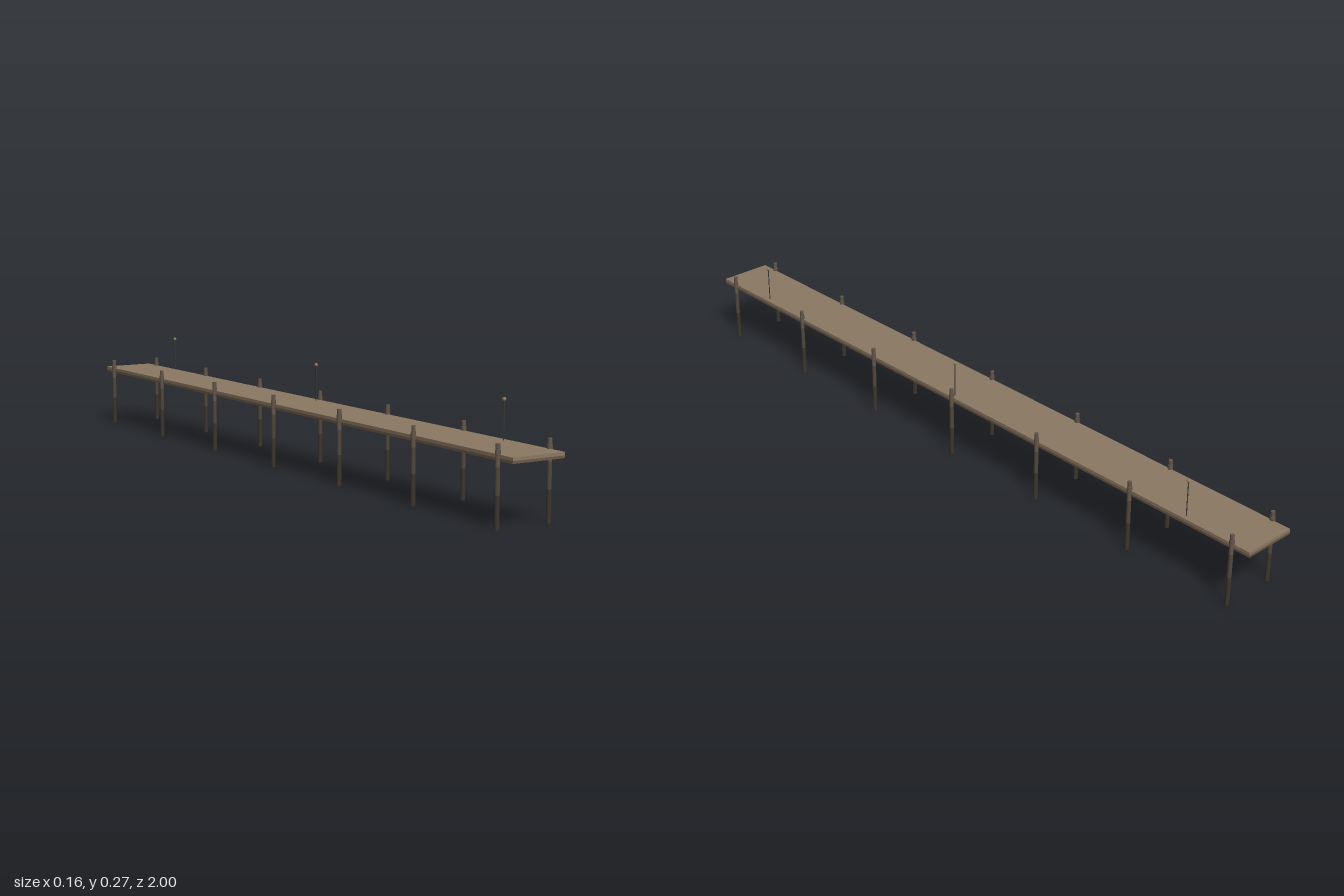
import * as THREE from 'three';

const material = (name, color) => {
  const m = new THREE.MeshStandardMaterial({ color });
  m.name = name;
  return m;
};

export function createModel() {
  const plank = material('weathered plank', 0x8b7862);
  const beamWood = material('beam brown', 0x6b5846);
  const postWood = material('post brown', 0x65574a);
  const dampWood = material('damp post', 0x51463b);
  const wetWood = material('waterline post', 0x3d352d);
  const iron = material('dark iron', 0x3c3c3c);
  const lampGlass = material('lamp amber', 0x9a7c50);

  const pier = new THREE.Group();
  pier.name = 'pier';

  const add = (parent, name, geometry, mat, x, y, z) => {
    const mesh = new THREE.Mesh(geometry, mat);
    mesh.name = name;
    mesh.position.set(x, y, z);
    parent.add(mesh);
    return mesh;
  };

  // Long walkway with a rim of beams beneath it
  add(pier, 'deck', new THREE.BoxGeometry(0.146, 0.008, 2), plank, 0, 0.164, 0);
  for (const side of [-1, 1]) {
    add(pier, 'sideBeam', new THREE.BoxGeometry(0.006, 0.006, 2), beamWood, side * 0.07, 0.157, 0);
    add(pier, 'endBeam', new THREE.BoxGeometry(0.134, 0.006, 0.006), beamWood, 0, 0.157, side * 0.997);
  }

  // Paired round posts, darker towards the waterline
  const sections = [
    ['postFoot', 0, 0.077, 0.0061, wetWood],
    ['postShaft', 0.077, 0.14, 0.0058, dampWood],
    ['postTop', 0.14, 0.192, 0.0055, postWood],
  ];
  for (let i = -3; i <= 3; i++) {
    for (const side of [-1, 1]) {
      const post = new THREE.Group();
      post.name = 'post';
      post.position.set(side * 0.073, 0, i * 0.316);
      for (const [name, y0, y1, r, mat] of sections) {
        add(post, name, new THREE.CylinderGeometry(r - 0.0002, r, y1 - y0, 10), mat, 0, (y0 + y1) / 2, 0);
      }
      // Binding where the post meets the deck
      add(post, 'postCollar', new THREE.CylinderGeometry(0.0066, 0.0066, 0.015, 10), postWood, 0, 0.17, 0);
      pier.add(post);
    }
  }

  // Slim lamp posts along one side
  for (const z of [-0.8, 0, 0.8]) {
    const lamp = new THREE.Group();
    lamp.name = 'lampPost';
    lamp.position.set(0.06, 0.168, z);
    add(lamp, 'lampPole', new THREE.CylinderGeometry(0.0013, 0.0013, 0.092, 8), iron, 0, 0.046, 0);
    add(lamp, 'lampGlobe', new THREE.SphereGeometry(0.0048, 12, 8), lampGlass, 0, 0.095, 0);
    pier.add(lamp);
  }

  return pier;
}
